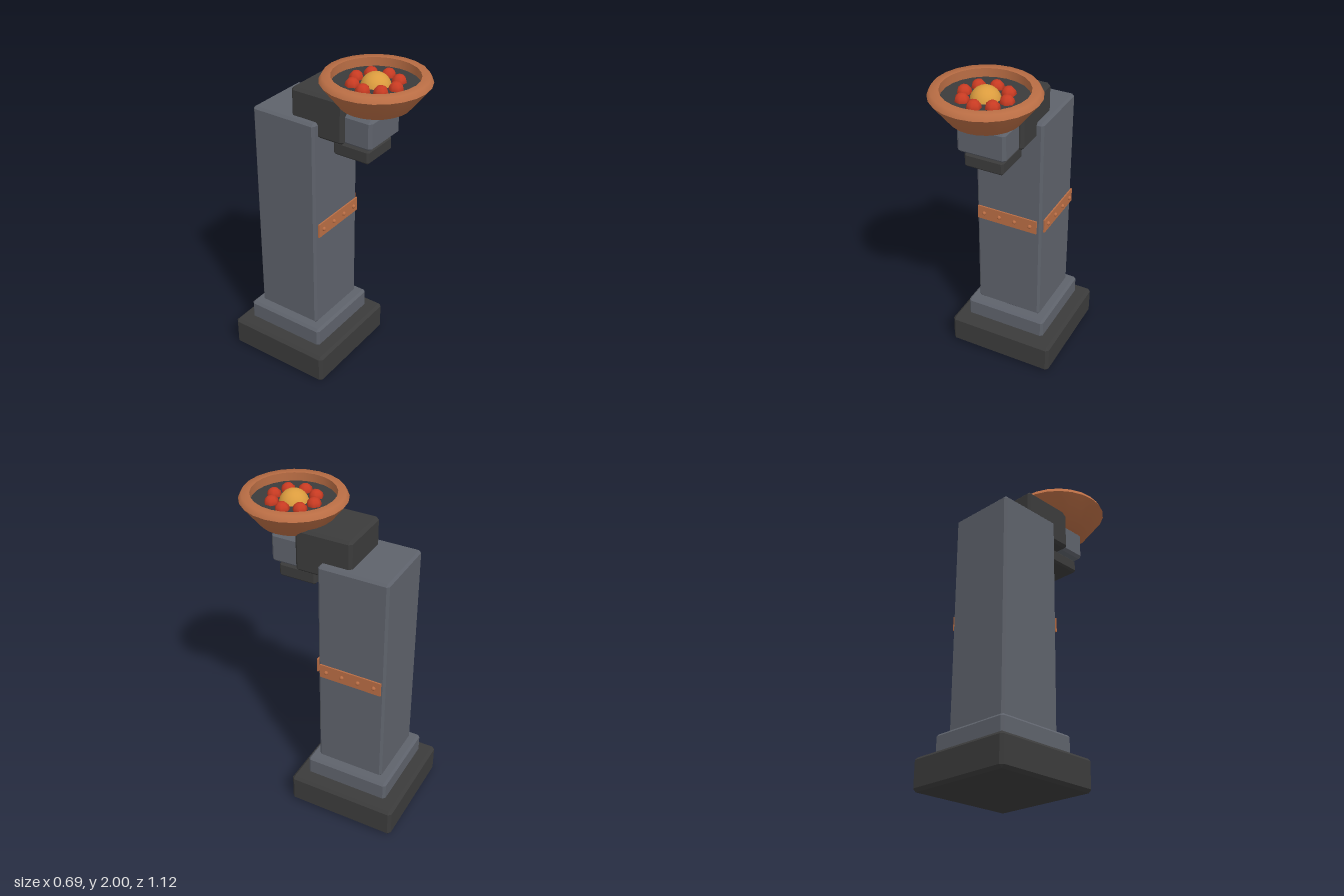
import * as THREE from 'three';
import { ConvexGeometry } from 'three/addons/geometries/ConvexGeometry.js';

const paint = (name, color, side = THREE.FrontSide) => {
  const m = new THREE.MeshStandardMaterial({ color, side });
  m.name = name;
  return m;
};

// Box with every edge cut at an angle; ranges are [min, max]
function chamferBox(x, y, z, b) {
  const pts = [];
  for (const i of [0, 1]) for (const j of [0, 1]) for (const k of [0, 1]) {
    const corner = [x[i], y[j], z[k]];
    const inward = [i ? -b : b, j ? -b : b, k ? -b : b];
    // each corner gives three points, one on each neighbouring face
    for (let axis = 0; axis < 3; axis++) {
      const p = corner.map((c, n) => (n === axis ? c : c + inward[n]));
      pts.push(new THREE.Vector3(...p));
    }
  }
  return new ConvexGeometry(pts);
}

export function createModel() {
  const group = new THREE.Group();
  const dark = paint('dark iron', 0x3b3b3b);
  const steel = paint('grey steel', 0x5e626b);
  const copper = paint('copper', 0xb96d44, THREE.DoubleSide);
  const red = paint('ember red', 0xc93b22);
  const gold = paint('glowing gold', 0xdb9c3e);

  const add = (name, geometry, material, parent = group) => {
    const mesh = new THREE.Mesh(geometry, material);
    mesh.name = name;
    parent.add(mesh);
    return mesh;
  };

  // Stacked blocks: base, plinth, column, overhanging arm, head and cap
  add('base', chamferBox([-0.345, 0.345], [0, 0.193], [-0.562, 0.128], 0.018), dark);
  add('plinth', chamferBox([-0.265, 0.265], [0.195, 0.325], [-0.482, 0.05], 0.015), steel);
  add('column', chamferBox([-0.214, 0.214], [0.328, 1.7], [-0.43, -0.003], 0.014), steel);
  add('arm', chamferBox([-0.172, 0.172], [1.603, 1.867], [-0.188, 0.16], 0.017), dark);
  add('head', chamferBox([-0.148, 0.148], [1.605, 1.785], [0.03, 0.326], 0.017), steel);
  add('headCap', chamferBox([-0.12, 0.12], [1.505, 1.59], [0.06, 0.296], 0.012), dark);

  // Riveted strap, built facing +z and placed on two sides of the column
  const strap = (name) => {
    const g = new THREE.Group();
    g.name = name;
    add('strapPlate', new THREE.BoxGeometry(0.39, 0.088, 0.009), copper, g);
    for (let i = 0; i < 4; i++) {
      const rivet = add('rivet', new THREE.SphereGeometry(0.013, 8, 6), copper, g);
      rivet.position.set(-0.1525 + i * 0.1017, 0, 0.006);
    }
    group.add(g);
    return g;
  };
  strap('frontStrap').position.set(-0.002, 1.012, 0.013);
  const side = strap('sideStrap');
  side.position.set(0.226, 1.012, -0.217);
  side.rotation.y = Math.PI / 2;

  // Brazier bowl with embers
  const brazier = new THREE.Group();
  brazier.name = 'brazier';
  brazier.position.z = 0.255;
  group.add(brazier);
  const lathe = (pairs) => new THREE.LatheGeometry(pairs.map(([r, y]) => new THREE.Vector2(r, y)), 24);
  add('bowl', lathe([[0, 1.77], [0.09, 1.77], [0.2, 1.82], [0.305, 1.955]]), copper, brazier);
  add('bowlRim', lathe([[0.305, 1.955], [0.288, 1.985], [0.242, 1.985]]), copper, brazier);
  add('bowlInside', lathe([[0.242, 1.985], [0.242, 1.925]]), copper, brazier);

  const bed = add('coalBed', new THREE.CylinderGeometry(0.241, 0.241, 0.02, 24), dark, brazier);
  bed.position.y = 1.925;
  const core = add('glowingCore', new THREE.SphereGeometry(0.085, 20, 14), gold, brazier);
  core.position.y = 1.915;
  const emberShape = new THREE.SphereGeometry(0.042, 7, 6);
  for (let i = 0; i < 8; i++) {
    const a = (i * Math.PI) / 4;
    const ember = add('ember', emberShape, red, brazier);
    ember.position.set(Math.cos(a) * 0.126, 1.937, Math.sin(a) * 0.126);
  }
  return group;
}
